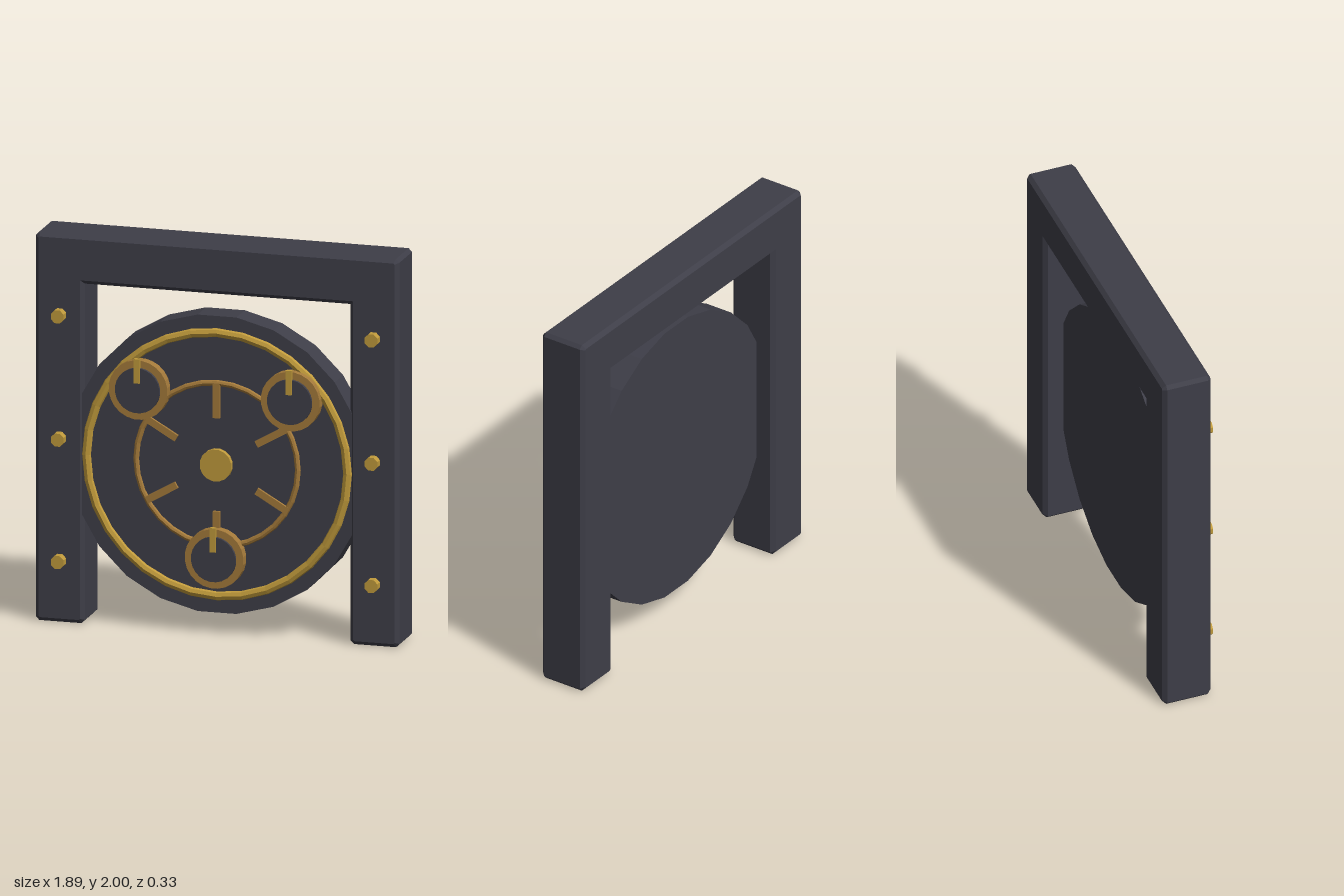
import * as THREE from 'three';

const dark = new THREE.MeshStandardMaterial({ color: 0x3e3e48 });
dark.name = 'darkIron';
const gold = new THREE.MeshStandardMaterial({ color: 0xc09a3b });
gold.name = 'gold';
const bronze = new THREE.MeshStandardMaterial({ color: 0xa47a3a });
bronze.name = 'bronze';

const CY = 0.875; // height of the door centre
const FACE = 0.085; // z of the door's front face

// Faceted mesh
function add(parent, name, geometry, material, x = 0, y = 0, z = 0) {
  const flat = geometry.index ? geometry.toNonIndexed() : geometry;
  flat.computeVertexNormals();
  const mesh = new THREE.Mesh(flat, material);
  mesh.name = name;
  mesh.position.set(x, y, z);
  parent.add(mesh);
  return mesh;
}

// Disc facing +z between two depths, with a flat side at the top
function disc(radius, sides, back, front) {
  return new THREE.CylinderGeometry(radius, radius, front - back, sides)
    .rotateY(Math.PI / sides)
    .rotateX(Math.PI / 2)
    .translate(0, 0, (front + back) / 2);
}

// Chamfered gateway of two pillars and a lintel
function frameGeometry() {
  const w = 0.945, i = 0.69, top = 2, under = 1.75, c = 0.018, b = 0.02;
  const half = [[i, under], [i, c], [i + c, 0], [w - c, 0], [w, c], [w, top - c], [w - c, top]];
  const mirrored = half.map(([x, y]) => [-x, y]).reverse();
  const shape = new THREE.Shape([...half, ...mirrored].map(([x, y]) => new THREE.Vector2(x, y)));
  return new THREE.ExtrudeGeometry(shape, {
    depth: 0.258 - 2 * b, bevelEnabled: true, bevelSegments: 1,
    bevelSize: b, bevelThickness: b, bevelOffset: -b,
  }).translate(0, 0, -0.165 + b);
}

export function createModel() {
  const model = new THREE.Group();
  model.name = 'vaultGate';

  add(model, 'frame', frameGeometry(), dark);

  // Round door and its trim
  const door = new THREE.Group();
  door.name = 'door';
  door.position.y = CY;
  model.add(door);
  add(door, 'doorDisc', disc(0.77, 24, -0.062, FACE), dark);
  add(door, 'outerRing', new THREE.TorusGeometry(0.678, 0.025, 8, 32), gold, 0, 0, FACE - 0.005);
  add(door, 'innerRing', new THREE.TorusGeometry(0.42, 0.015, 8, 32), bronze, 0, 0, FACE);
  add(door, 'hub', disc(0.083, 16, FACE - 0.02, 0.113), gold);

  // Six radial bars inside the inner ring
  for (let k = 0; k < 6; k++) {
    const bar = new THREE.BoxGeometry(0.036, 0.18, 0.03).translate(0, 0.33, 0);
    add(door, 'radialBar', bar, bronze, 0, 0, FACE).rotation.z = (k * Math.PI) / 3;
  }

  // Three dials, each with a collar, face and pointer
  for (const [x, y] of [[-0.395, 1.24], [0.395, 1.24], [0, 0.4]]) {
    const dial = new THREE.Group();
    dial.name = 'dial';
    dial.position.set(x, y, 0);
    add(dial, 'collar', disc(0.153, 24, FACE - 0.02, 0.137), bronze);
    add(dial, 'dialFace', disc(0.116, 24, 0.13, 0.153), dark);
    add(dial, 'pointer', new THREE.BoxGeometry(0.03, 0.125, 0.022), gold, 0, 0.103, 0.154);
    model.add(dial);
  }

  // Rivets on both pillars
  for (const x of [-0.815, 0.815]) {
    for (const y of [0.32, 0.95, 1.585]) {
      add(model, 'rivet', disc(0.036, 8, 0.06, 0.137), gold, x, y);
    }
  }

  return model;
}
